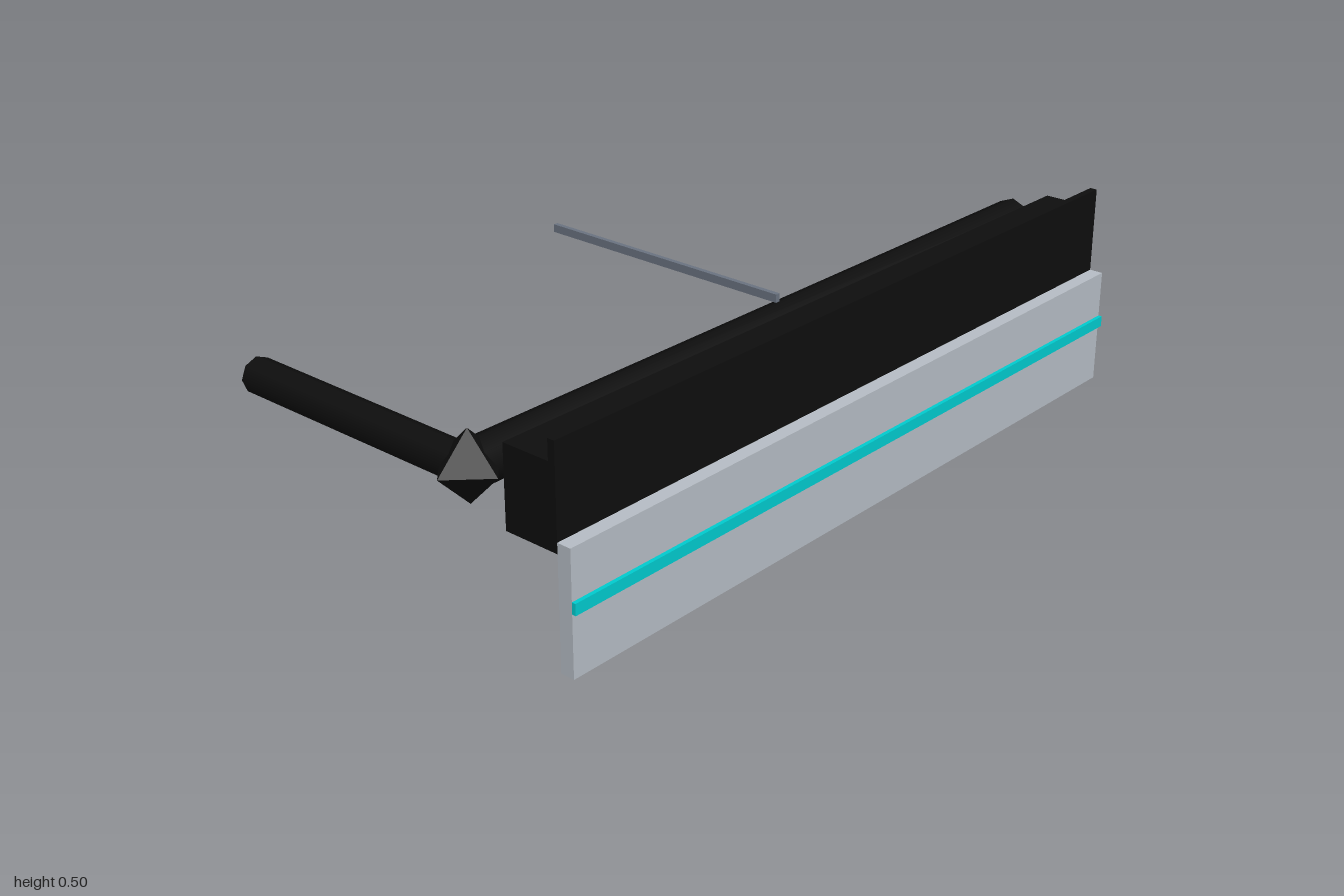
import * as THREE from 'three';

const mat = (name, color) => {
  const m = new THREE.MeshStandardMaterial({ color });
  m.name = name;
  return m;
};

export function createModel() {
  const group = new THREE.Group();
  const black = mat('black', 0x0e0e0e);
  const silver = mat('silver', 0xb8bfc7);
  const cyan = mat('cyan', 0x00ced1);
  const steel = mat('steel grey', 0x6b7482);

  const X0 = -0.917, X1 = 1, LEN = X1 - X0, MID = (X0 + X1) / 2;
  const RAIL_Y = 0.373, RAIL_Z = 0.213;

  const add = (name, geometry, material, x, y, z) => {
    const mesh = new THREE.Mesh(geometry, material);
    mesh.name = name;
    mesh.position.set(x, y, z);
    group.add(mesh);
    return mesh;
  };

  // Front panel with its thin stripe
  add('frontPanel', new THREE.BoxGeometry(LEN, 0.29, 0.035), silver, MID, 0.145, 0.4725);
  add('stripe', new THREE.BoxGeometry(LEN, 0.027, 0.0095), cyan, MID, 0.16, 0.4948);

  // Long beam with a raised front lip, extruded along x
  const profile = new THREE.Shape([
    [0.314, 0.265], [0.455, 0.265], [0.455, 0.505],
    [0.437, 0.505], [0.437, 0.457], [0.314, 0.457],
  ].map(([z, y]) => new THREE.Vector2(-z, y)));
  const beam = new THREE.ExtrudeGeometry(profile, { depth: LEN, bevelEnabled: false });
  beam.rotateY(Math.PI / 2);
  add('beam', beam, black, X0, 0, 0);

  // Rail behind the beam, and the arm reaching back from its corner
  const rail = new THREE.CylinderGeometry(0.053, 0.053, LEN, 8).rotateZ(Math.PI / 2);
  add('rail', rail, black, MID, RAIL_Y, RAIL_Z);
  const armLength = RAIL_Z + 0.45;
  const arm = new THREE.CylinderGeometry(0.042, 0.042, armLength, 8).rotateX(Math.PI / 2);
  add('sideArm', arm, black, X0, RAIL_Y, RAIL_Z - armLength / 2);

  // Faceted corner joint
  add('cornerJoint', new THREE.OctahedronGeometry(0.083), black, X0, RAIL_Y, RAIL_Z + 0.002);

  // Slim rod resting on the rail
  add('rod', new THREE.BoxGeometry(0.012, 0.02, 0.71), steel, 0.0385, 0.437, -0.144);

  return group;
}
